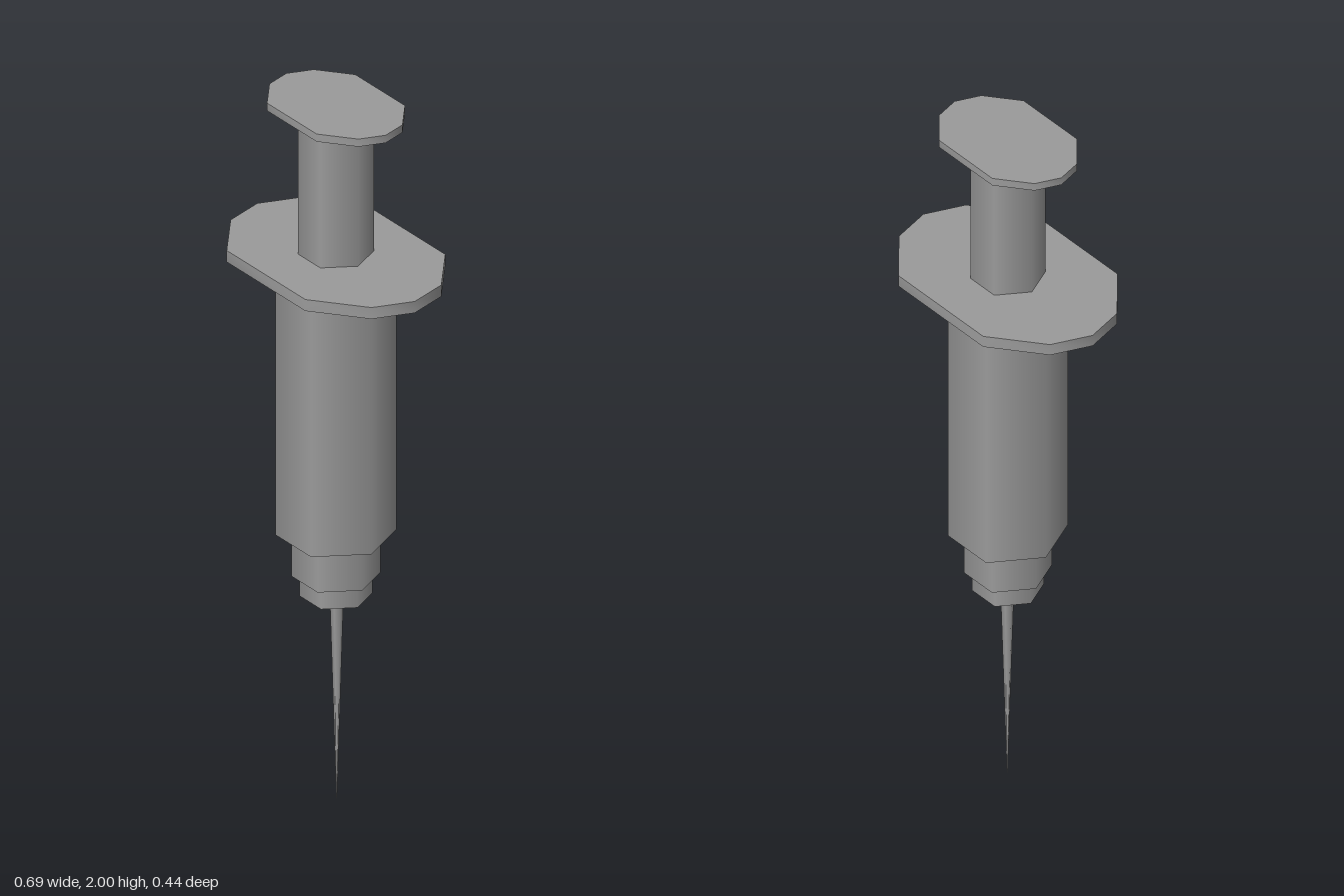
import * as THREE from 'three';
import { toCreasedNormals } from 'three/addons/utils/BufferGeometryUtils.js';

const material = new THREE.MeshStandardMaterial({ color: 0x9a9a9a });

// Six-sided section between two heights, with corners on the x axis
function hexSection(name, bottom, top, rBottom, rTop = rBottom) {
  const geometry = new THREE.CylinderGeometry(rTop, rBottom, top - bottom, 6, 1, false, Math.PI / 2);
  geometry.translate(0, (bottom + top) / 2, 0);
  const mesh = new THREE.Mesh(geometry, material);
  mesh.name = name;
  return mesh;
}

// Flat ten-sided oval plate with a smooth rim
function ovalPlate(name, bottom, top, size) {
  const quarter = [[1, 0], [0.894, 0.32], [0.5, 0.64]];
  const upper = [...quarter, ...quarter.slice().reverse().map(([x, z]) => [-x, z])];
  const lower = upper.slice(1, -1).reverse().map(([x, z]) => [x, -z]);
  const outline = [...upper, ...lower].map(([x, z]) => new THREE.Vector2(x * size, z * size));
  const geometry = new THREE.ExtrudeGeometry(new THREE.Shape(outline), { depth: top - bottom, bevelEnabled: false });
  geometry.rotateX(-Math.PI / 2);
  geometry.translate(0, bottom, 0);
  const mesh = new THREE.Mesh(toCreasedNormals(geometry, Math.PI / 3), material);
  mesh.name = name;
  return mesh;
}

export function createModel() {
  const group = new THREE.Group();
  group.name = 'syringe';

  // Needle tapering to a point, very slightly off centre
  const needle = hexSection('needle', 0, 0.59, 0.001, 0.018);
  needle.position.x = 0.003;

  group.add(
    needle,
    // Stepped hub
    hexSection('needleHub', 0.587, 0.645, 0.094),
    hexSection('barrelCollar', 0.645, 0.766, 0.115),
    // Barrel and finger grip
    hexSection('barrel', 0.766, 1.54, 0.156),
    ovalPlate('fingerFlange', 1.54, 1.573, 0.347),
    // Plunger and thumb rest
    hexSection('plungerRod', 1.573, 1.978, 0.098),
    ovalPlate('thumbRest', 1.978, 2, 0.219),
  );
  return group;
}
